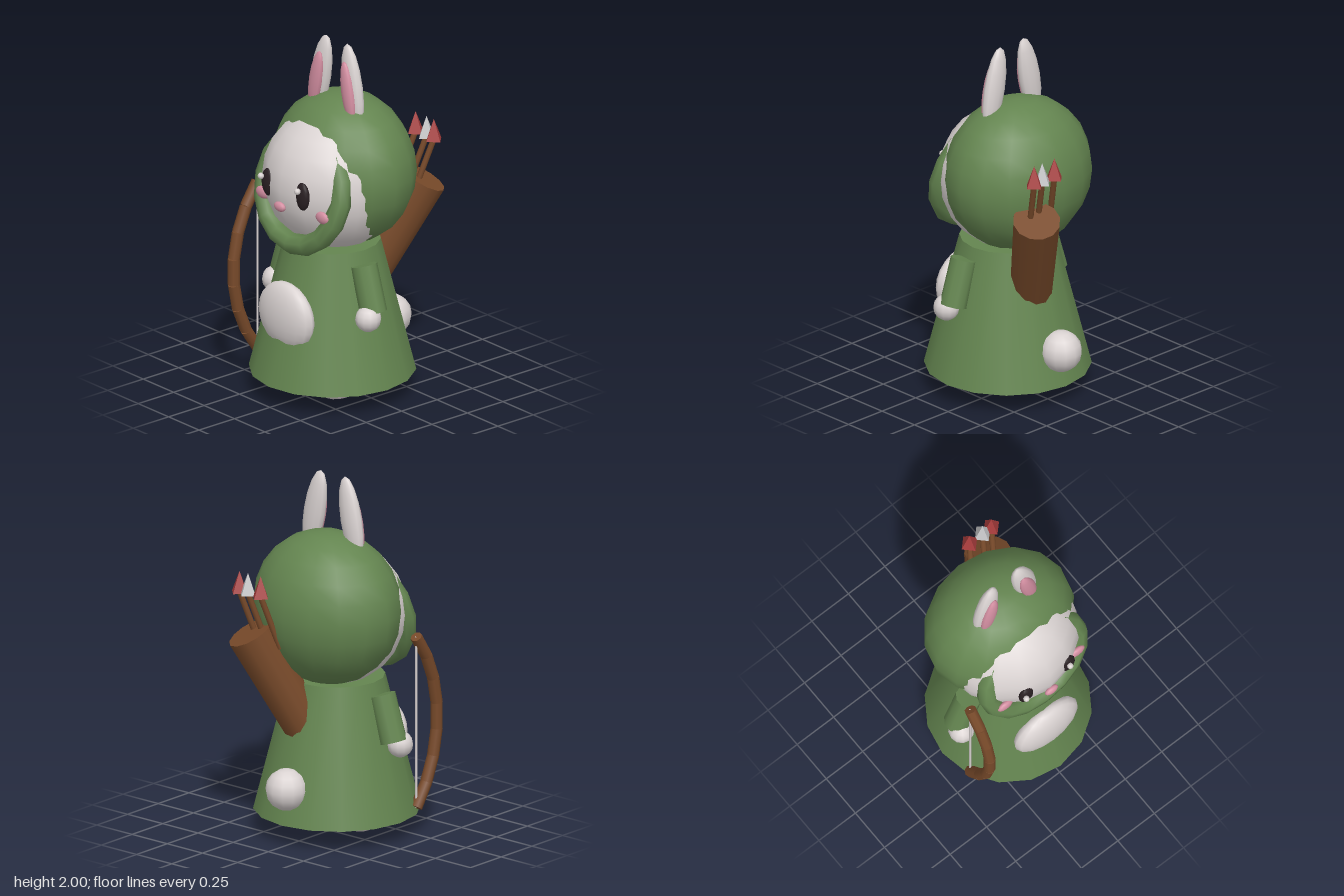
import * as THREE from 'three';

const paint = (name, color) => {
  const m = new THREE.MeshStandardMaterial({ color });
  m.name = name;
  return m;
};

export function createModel() {
  const green = paint('cloakGreen', 0x648550);
  const white = paint('furWhite', 0xdad3d2);
  const pink = paint('pink', 0xd48fa2);
  const black = paint('eyeBlack', 0x2a2023);
  const brown = paint('leatherBrown', 0x784a2a);
  const red = paint('arrowRed', 0xa63c3c);
  const grey = paint('arrowGrey', 0xc4c4c6);

  const model = new THREE.Group();
  model.name = 'rabbitArcher';

  const add = (name, geometry, material, pos = [0, 0, 0], parent = model) => {
    const mesh = new THREE.Mesh(geometry, material);
    mesh.name = name;
    mesh.position.set(...pos);
    parent.add(mesh);
    return mesh;
  };
  const ellipsoid = (name, material, pos, radii, seg = 12, rings = 8) =>
    add(name, new THREE.SphereGeometry(1, seg, rings).scale(...radii), material, pos);

  // Cylinder running from point a (radius ra) to point b (radius rb)
  const rod = (name, material, a, b, ra, rb = ra, seg = 8, parent = model) => {
    const from = new THREE.Vector3(...a), to = new THREE.Vector3(...b);
    const dir = to.clone().sub(from);
    const geometry = new THREE.CylinderGeometry(rb, ra, dir.length(), seg);
    const mesh = add(name, geometry, material, from.add(to).multiplyScalar(0.5).toArray(), parent);
    mesh.quaternion.setFromUnitVectors(new THREE.Vector3(0, 1, 0), dir.normalize());
    return mesh;
  };

  // Robe, belly patch and tail
  add('robe', new THREE.CylinderGeometry(0.26, 0.45, 0.75, 16), green, [0, 0.495, 0.058]);
  ellipsoid('belly', white, [0, 0.5, 0.382], [0.21, 0.19, 0.08], 16, 12);
  ellipsoid('tail', white, [0, 0.315, -0.352], [0.115, 0.115, 0.115]);

  // Head pushed out of the front of the hood, with a rolled brim around the face
  ellipsoid('head', white, [0, 1.225, 0.035], [0.395, 0.395, 0.395], 16, 12);
  ellipsoid('hood', green, [0, 1.265, -0.02], [0.435, 0.425, 0.36], 16, 12);
  const brim = add('hoodBrim', new THREE.TorusGeometry(0.305, 0.058, 8, 16), green, [0, 1.2, 0.265]);
  brim.rotation.x = -0.26;

  // Nose and eye glints
  ellipsoid('nose', pink, [0, 1.14, 0.43], [0.043, 0.027, 0.02]);
  for (const x of [-0.165, 0.135])
    ellipsoid('eyeGlint', white, [x, 1.265, 0.422], [0.018, 0.018, 0.018], 8, 6);

  // Mirrored parts
  for (const s of [-1, 1]) {
    ellipsoid('eye', black, [s * 0.14, 1.23, 0.389], [0.049, 0.08, 0.027]);
    ellipsoid('cheek', pink, [s * 0.245, 1.125, 0.34], [0.052, 0.034, 0.02]);

    const ear = ellipsoid('ear', white, [s * 0.13, 1.765, 0.027], [0.068, 0.24, 0.042]);
    const innerEar = ellipsoid('innerEar', pink, [s * 0.132, 1.74, 0.063], [0.045, 0.175, 0.028]);
    ear.rotation.z = innerEar.rotation.z = s * 0.19;

    rod('arm', green, [s * 0.375, 0.555, 0.09], [s * 0.296, 0.805, 0.09], 0.074, 0.072, 10);
    ellipsoid('hand', white, [s * 0.383, 0.533, 0.135], [0.07, 0.072, 0.072]);
    ellipsoid('foot', white, [s * 0.135, 0.058, 0.12], [0.08, 0.058, 0.125]);
  }

  // Bow made of short straight pieces along an arc, with a string
  const bow = new THREE.Group();
  bow.name = 'bow';
  model.add(bow);
  const bowPoint = (t) => {
    const a = t * 0.68;
    return [-0.405, 0.635 + 0.763 * Math.sin(a), -0.353 + 0.763 * Math.cos(a)];
  };
  const pieces = 7;
  for (let i = 0; i < pieces; i++)
    rod('bowPiece', brown, bowPoint(-1 + (2 * i) / pieces), bowPoint(-1 + (2 * (i + 1)) / pieces),
      0.033, 0.033, 8, bow);
  rod('bowString', white, bowPoint(-1), bowPoint(1), 0.006, 0.006, 6, bow);

  // Quiver slung across the back, with three arrows
  rod('quiver', brown, [0.03, 0.6, -0.15], [0.222, 1.16, -0.395], 0.115, 0.128, 12);
  const tip = new THREE.ConeGeometry(0.053, 0.12, 4).toNonIndexed();
  tip.computeVertexNormals();
  [[0.12, red], [0.21, grey], [0.27, red]].forEach(([x, material]) => {
    rod('arrowShaft', brown, [x - 0.055, 1.09, -0.33], [x, 1.39, -0.425], 0.016);
    add('arrowTip', tip, material, [x, 1.445, -0.425]);
  });

  return model;
}
